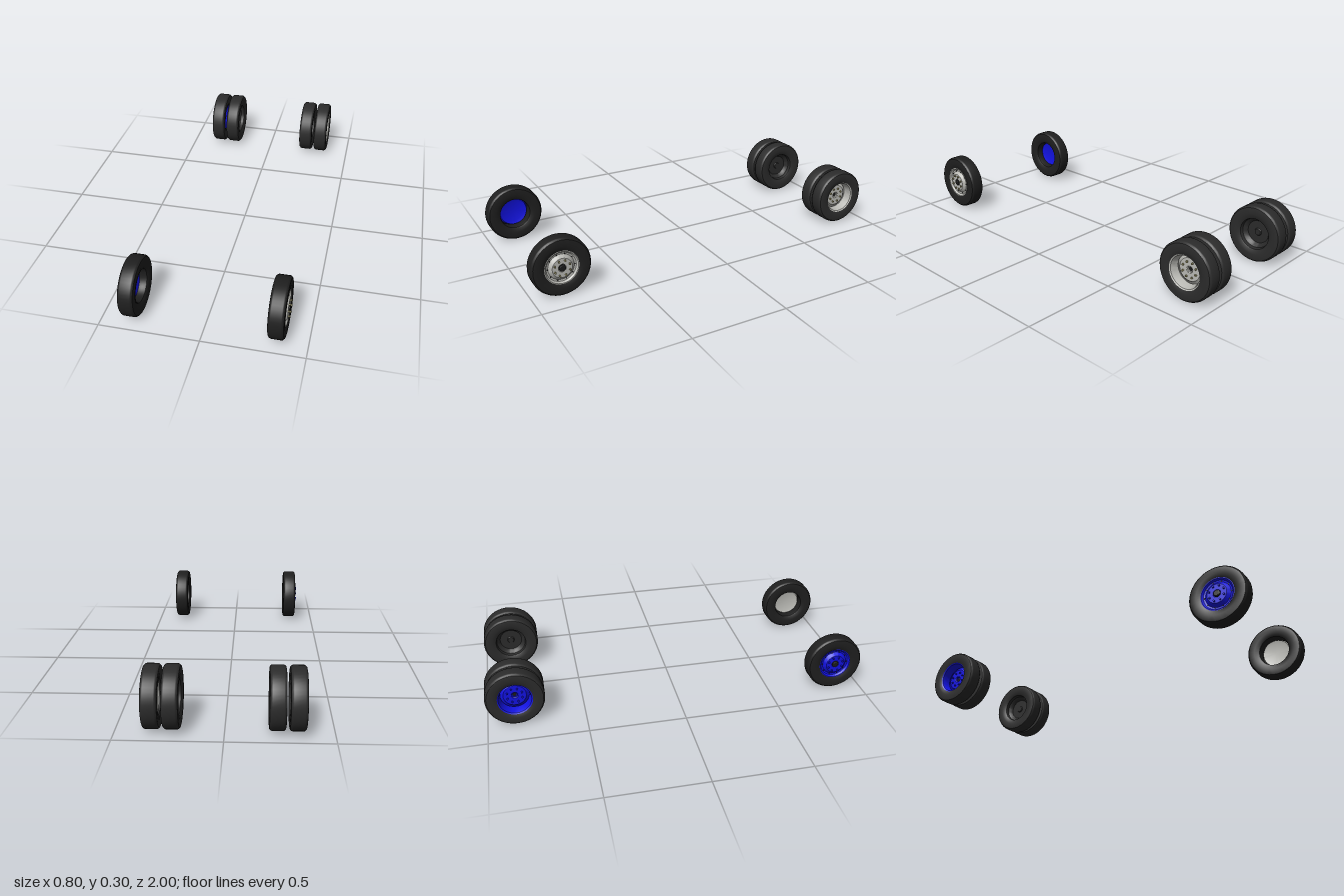
import * as THREE from 'three';
import { toCreasedNormals } from 'three/addons/utils/BufferGeometryUtils.js';

const R = 0.15; // tyre radius

const material = (color) => new THREE.MeshStandardMaterial({ color, side: THREE.DoubleSide });
const rubber = material(0x2b2b2b);
const frontRubber = material(0x1f1f1f);
const dark = material(0x1a1a1a);
const grey = material(0xb9b9b4);
const blue = material(0x1212e0);
const brass = material(0x9a9468);

// Profile of [radius, distance along the axle], turned around the axle
function turned(name, profile, mat, segments = 48) {
  const points = profile.map(([r, a]) => new THREE.Vector2(r, a));
  const mesh = new THREE.Mesh(toCreasedNormals(new THREE.LatheGeometry(points, segments), 0.5), mat);
  mesh.name = name;
  return mesh;
}

// Ring of small cylinders standing on a disc
function studs(name, count, ringRadius, radius, length, y, mat, sides = 6) {
  const group = new THREE.Group();
  group.name = name;
  const geometry = new THREE.CylinderGeometry(radius, radius, length, sides);
  for (let i = 0; i < count; i++) {
    const a = ((i + 0.5) / count) * Math.PI * 2;
    const stud = new THREE.Mesh(geometry, mat);
    stud.name = name;
    stud.position.set(Math.cos(a) * ringRadius, y + length / 2, Math.sin(a) * ringRadius);
    group.add(stud);
  }
  return group;
}

// Hollow tyre with bevelled shoulders and slightly dished sidewalls
function tyre(mat) {
  return turned('tyre', [
    [0.083, -0.03], [0.089, -0.034], [0.11, -0.0385], [0.135, -0.0385], [0.142, -0.037],
    [0.148, -0.031], [R, -0.025], [R, 0.025], [0.148, 0.031], [0.142, 0.037],
    [0.135, 0.0385], [0.11, 0.0385], [0.089, 0.034], [0.083, 0.03],
    [0.079, 0.012], [0.079, -0.012], [0.083, -0.03],
  ], mat);
}

// Shallow front rim with raised hub face, nuts and dark cap
function frontWheel(color, nutColor) {
  const wheel = new THREE.Group();
  wheel.add(
    tyre(frontRubber),
    turned('rim', [
      [0, 0.01], [0.056, 0.01], [0.074, 0.004], [0.081, 0.026], [0.087, 0.036],
      [0.083, 0.036], [0.075, 0.027], [0.066, 0.025], [0.058, 0.033], [0.05, 0.0405], [0.02, 0.0405], [0.018, 0.034], [0, 0.034],
    ].reverse(), color),
    studs('wheelNut', 8, 0.04, 0.005, 0.009, 0.04, nutColor),
    studs('rimHole', 10, 0.0685, 0.0035, 0.002, 0.026, dark, 10),
    turned('hubCap', [[0.017, 0.034], [0.017, 0.043], [0.012, 0.046], [0, 0.046]], dark, 24),
  );
  return wheel;
}

// Deep dished rear rim with nuts around a centre bore
function rearWheel(color, nutColor) {
  const wheel = new THREE.Group();
  wheel.add(
    tyre(rubber),
    turned('rim', [
      [0.079, -0.022], [0.07, -0.016], [0.062, -0.01], [0.058, -0.005], [0.018, -0.005],
      [0.014, -0.008], [0.014, -0.016], [0, -0.016],
    ], color),
    turned('rimBarrel', [[0.079, -0.022], [0.073, -0.012], [0.077, 0.014], [0.083, 0.032], [0.089, 0.036]], color),
    studs('wheelNut', 8, 0.04, 0.005, 0.008, -0.005, nutColor),
    turned('hubBore', [[0.01, -0.014], [0, -0.014]], dark, 20),
  );
  return wheel;
}

// Inner twin wheel, closed by a dark recessed disc
function innerWheel() {
  const wheel = new THREE.Group();
  wheel.add(
    tyre(rubber),
    turned('innerDisc', [
      [0.079, -0.012], [0.068, -0.004], [0.06, 0.008], [0.02, 0.008], [0.016, 0.002], [0, 0.002],
    ], rubber),
  );
  return wheel;
}

export function createModel() {
  const model = new THREE.Group();
  model.name = 'wheelSet';

  // Left side has grey rims, right side has blue ones
  for (const side of [1, -1]) {
    const label = side > 0 ? 'Left' : 'Right';
    const rim = side > 0 ? grey : blue;
    const nut = side > 0 ? brass : blue;
    const place = (name, wheel, x, z) => {
      wheel.name = name + label;
      wheel.rotation.z = (-side * Math.PI) / 2;
      wheel.position.set(side * x, R, z);
      model.add(wheel);
    };
    place('frontWheel', frontWheel(rim, nut), 0.353, 0.85);
    place('rearOuterWheel', rearWheel(rim, nut), 0.331, -0.85);
    place('rearInnerWheel', innerWheel(), 0.2385, -0.85);
  }
  return model;
}
